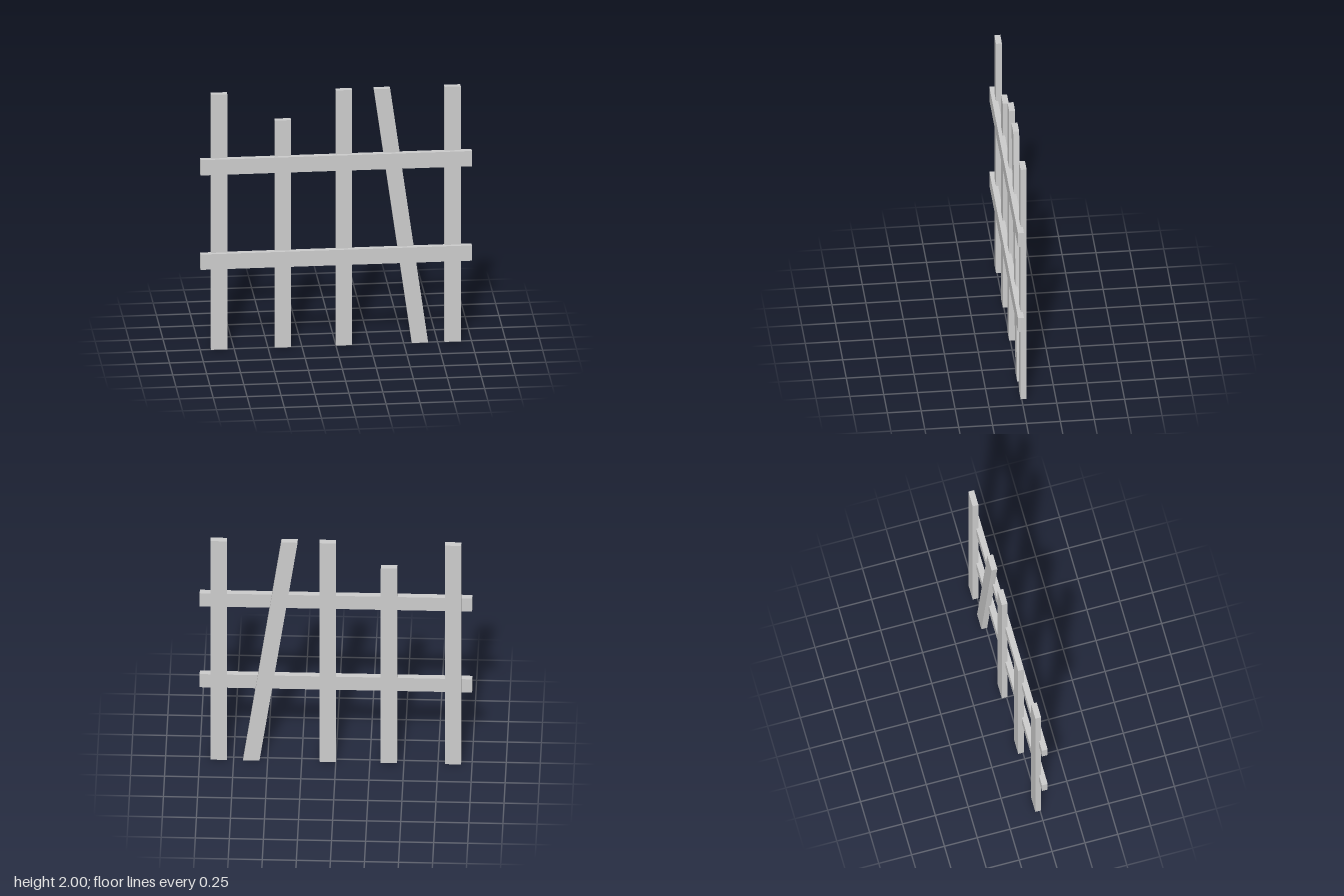
import * as THREE from 'three';

const WIDTH = 0.12, DEPTH = 0.044, OFFSET = 0.014;
const material = new THREE.MeshStandardMaterial({ color: 0xcccccc, flatShading: true });

// Upright board standing on the ground; lean shifts its top sideways, keeping level ends
function makePicket(x, height, lean = 0) {
  const geometry = new THREE.BoxGeometry(WIDTH, height, DEPTH).translate(0, height / 2, 0);
  const pos = geometry.attributes.position;
  for (let i = 0; i < pos.count; i++) {
    pos.setX(i, pos.getX(i) + lean * pos.getY(i) / height);
  }
  geometry.computeVertexNormals();
  const mesh = new THREE.Mesh(geometry, material);
  mesh.position.set(x, 0, -OFFSET);
  return mesh;
}

export function createModel() {
  const group = new THREE.Group();
  group.name = 'brokenFence';

  // Pickets: centre at the foot, height, lean
  const pickets = [[-0.86, 2], [-0.39, 1.78], [0.06, 2], [0.62, 2, -0.28], [0.86, 2]];
  pickets.forEach(([x, height, lean], i) => {
    const picket = makePicket(x, height, lean);
    picket.name = lean ? 'leaningPicket' : `picket${i + 1}`;
    group.add(picket);
  });

  // Horizontal rails across the front, slightly sunk into the pickets
  for (const [name, y] of [['lowerRail', 0.7], ['upperRail', 1.44]]) {
    const rail = new THREE.Mesh(new THREE.BoxGeometry(2, WIDTH, DEPTH), material);
    rail.name = name;
    rail.position.set(0, y, OFFSET);
    group.add(rail);
  }
  return group;
}
